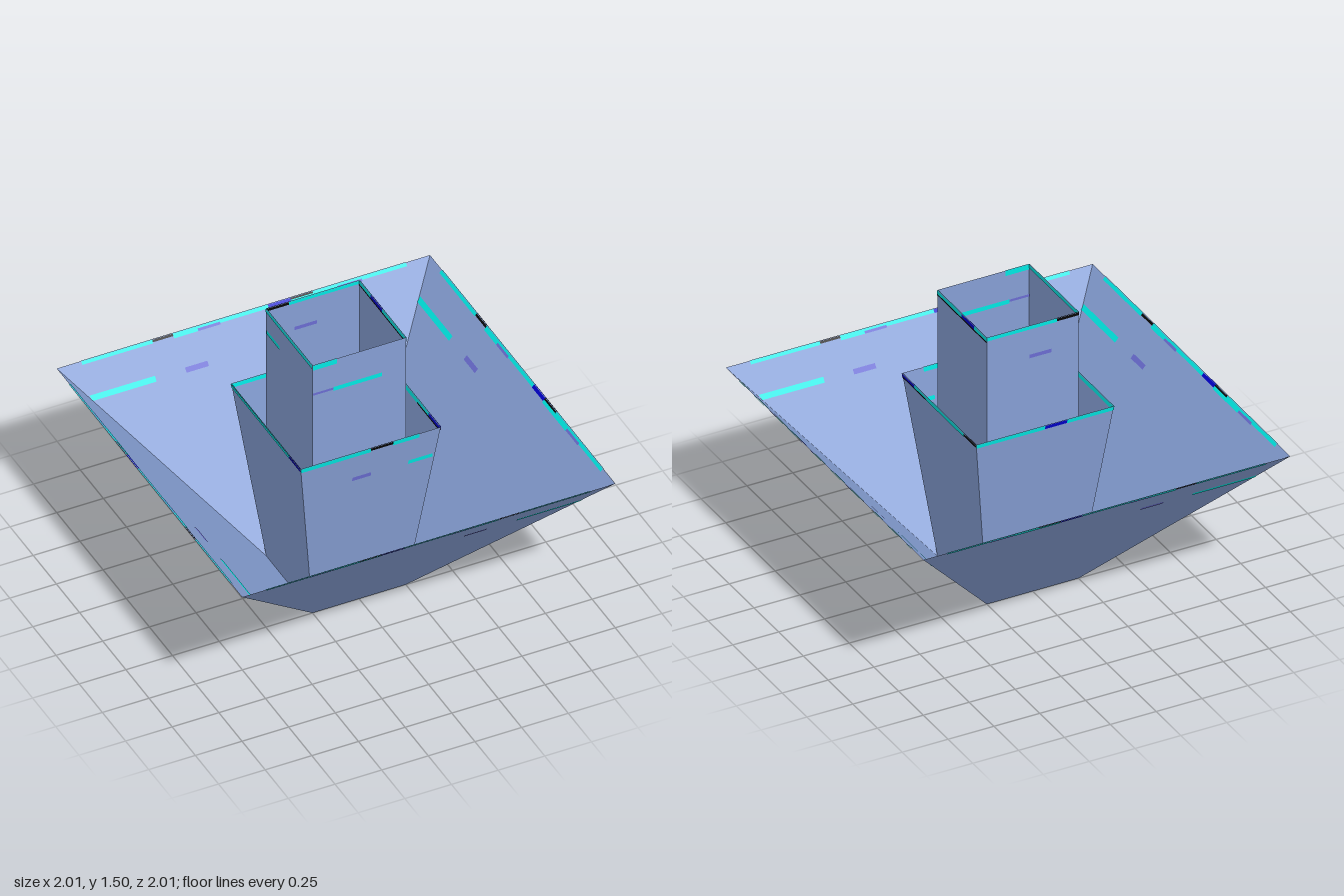
import * as THREE from 'three';

const material = (name, color) =>
  new THREE.MeshStandardMaterial({ name, color, side: THREE.DoubleSide });

const paint = {
  blue: material('slate blue', 0x859ed3),
  cyan: material('cyan', 0x00ece6),
  navy: material('navy', 0x0000c8),
  black: material('black', 0x060606),
  purple: material('purple', 0x6a6cd0),
};

// Flat four-cornered patch of a sloping wall that faces +z
function patch(halfAt, u0, u1, y0, y1, offset = 0) {
  const corner = (u, y) => {
    const h = halfAt(y);
    return [THREE.MathUtils.clamp(u, -h, h), y, h + offset];
  };
  const geometry = new THREE.BufferGeometry();
  const points = [corner(u0, y0), corner(u1, y0), corner(u1, y1), corner(u0, y1)];
  geometry.setAttribute('position', new THREE.Float32BufferAttribute(points.flat(), 3));
  geometry.setIndex([0, 1, 2, 0, 2, 3]);
  geometry.computeVertexNormals();
  return geometry;
}

// Open square tube of four walls; marks are [colour, u0, u1, y0, y1],
// listed for each side (front, right, back, left)
function squareTube(name, bottom, top, height, marks) {
  const tube = new THREE.Group();
  tube.name = name;
  const halfAt = (y) => bottom + (top - bottom) * (y / height);
  marks.forEach((sideMarks, side) => {
    const wall = new THREE.Group();
    wall.name = name + 'Wall';
    wall.rotation.y = side * Math.PI / 2;
    const panel = new THREE.Mesh(patch(halfAt, -9, 9, 0, height), paint.blue);
    panel.name = name + 'Panel';
    wall.add(panel);
    for (const [colour, u0, u1, y0, y1] of sideMarks) {
      // a streak on both faces of the wall, or only inside at the foot
      for (const offset of y0 === 0 ? [-0.003] : [0.003, -0.003]) {
        const streak = new THREE.Mesh(patch(halfAt, u0, u1, y0, y1, offset), paint[colour]);
        streak.name = name + 'Streak';
        wall.add(streak);
      }
    }
    tube.add(wall);
  });
  return tube;
}

export function createModel() {
  const model = new THREE.Group();
  model.name = 'nestedFunnels';

  // Wide outer bowl with a broken bright rim, the same on all sides
  const bowlMarks = [
    ['cyan', -0.87, -0.63, 0.862, 0.875],
    ['cyan', -0.63, -0.5, 0.867, 0.875],
    ['purple', -0.63, -0.5, 0.857, 0.867],
    ['cyan', -0.5, -0.37, 0.855, 0.875],
    ['cyan', -0.37, -0.25, 0.855, 0.868],
    ['black', -0.37, -0.25, 0.868, 0.875],
    ['navy', -0.25, -0.13, 0.861, 0.875],
    ['cyan', -0.13, 0.13, 0.862, 0.875],
    ['cyan', 0.13, 0.25, 0.867, 0.875],
    ['purple', 0.13, 0.25, 0.857, 0.867],
    ['cyan', 0.25, 0.38, 0.857, 0.875],
    ['black', 0.38, 0.49, 0.866, 0.875],
    ['cyan', 0.49, 0.87, 0.862, 0.875],
    ['purple', 0.25, 0.37, 0.724, 0.744],
    ['cyan', 0.53, 0.88, 0.725, 0.747],
  ];
  model.add(squareTube('outerBowl', 0.25, 1, 0.875, [bowlMarks, bowlMarks, bowlMarks, bowlMarks]));

  // Slightly flared middle sleeve
  model.add(squareTube('middleSleeve', 0.25, 0.375, 1, [
    [
      ['cyan', -0.375, 0, 0.977, 1],
      ['black', 0, 0.12, 0.985, 1],
      ['cyan', 0.12, 0.26, 0.977, 1],
      ['purple', -0.09, 0.01, 0.818, 0.84],
      ['cyan', 0.21, 0.34, 0.82, 0.842],
    ],
    [
      ['navy', -0.375, -0.25, 0.985, 1],
      ['black', -0.375, -0.13, 0.977, 0.985],
      ['cyan', -0.25, -0.13, 0.985, 1],
      ['cyan', -0.13, 0.25, 0.978, 1],
      ['black', 0.25, 0.375, 0.985, 1],
    ],
    [
      ['cyan', -0.375, 0, 0.98, 1],
      ['navy', 0, 0.12, 0.982, 1],
      ['cyan', 0.12, 0.375, 0.98, 1],
    ],
    [
      ['cyan', -0.375, 0.25, 0.98, 1],
      ['navy', 0.25, 0.375, 0.982, 1],
    ],
  ]));

  // Straight inner chimney
  model.add(squareTube('innerChimney', 0.25, 0.25, 1.5, [
    [
      ['cyan', -0.25, -0.12, 1.472, 1.5],
      ['purple', -0.25, -0.14, 1.32, 1.333],
      ['cyan', -0.14, 0.12, 1.312, 1.335],
      ['black', -0.25, 0.25, 0, 0.05],
    ],
    [
      ['cyan', -0.25, 0, 1.481, 1.5],
      ['navy', 0, 0.125, 1.481, 1.5],
      ['cyan', 0.125, 0.25, 1.481, 1.5],
      ['black', -0.25, 0.25, 1.473, 1.481],
    ],
    [
      ['cyan', -0.25, 0.13, 1.482, 1.5],
      ['black', 0.13, 0.25, 1.485, 1.5],
      ['purple', -0.02, 0.1, 1.32, 1.34],
    ],
    [
      ['cyan', -0.25, 0.25, 1.482, 1.5],
      ['cyan', -0.24, -0.1, 1.355, 1.377],
      ['cyan', -0.13, 0.13, 0, 0.045],
    ],
  ]));

  return model;
}
